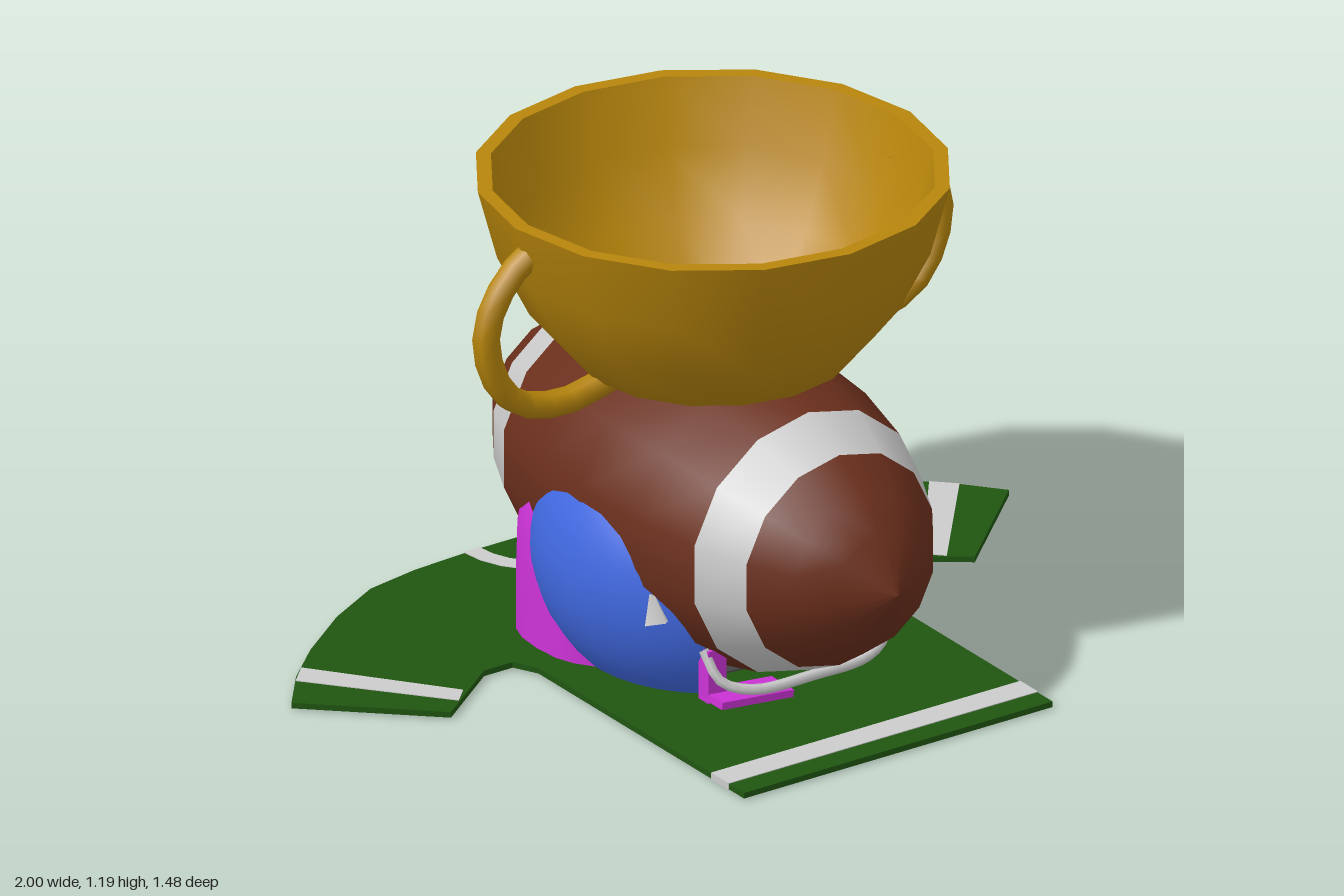
import * as THREE from 'three';
import { toCreasedNormals } from 'three/addons/utils/BufferGeometryUtils.js';

const mat = (color) => new THREE.MeshStandardMaterial({ color, side: THREE.DoubleSide });
const GREEN = mat(0x1f5511), WHITE = mat(0xcccccc), BROWN = mat(0x6b2f1c), GOLD = mat(0xb8860b);
const BLUE = mat(0x4169e1), MAGENTA = mat(0xcc33d6), DARK = mat(0x444444);

const v2 = (pts) => pts.map(([x, y]) => new THREE.Vector2(x, y));
const v3 = (pts) => pts.map((p) => new THREE.Vector3(...p));

function add(parent, name, geometry, material) {
  const mesh = new THREE.Mesh(geometry, material);
  mesh.name = name;
  parent.add(mesh);
  return mesh;
}

// Flat cloth slab from an outline of [x, z] points
function slab(outline, y0, y1) {
  const shape = new THREE.Shape(v2(outline.map(([x, z]) => [x, -z])));
  const geo = new THREE.ExtrudeGeometry(shape, { depth: y1 - y0, bevelEnabled: false });
  return geo.rotateX(-Math.PI / 2).translate(0, y0, 0);
}

const lathe = (pts, sides) => new THREE.LatheGeometry(v2(pts), sides);

function tube(pts, radius, segments, sides) {
  return new THREE.TubeGeometry(new THREE.CatmullRomCurve3(v3(pts)), segments, radius, sides);
}

function makeJersey() {
  const g = new THREE.Group();
  g.name = 'jersey';
  const half = [[0.43, 0.74], [0.43, -0.08], [0.46, -0.14], [0.54, -0.14], [0.73, 0], [1, -0.25],
    [0.91, -0.36], [0.8, -0.46], [0.65, -0.57], [0.5, -0.65], [0.36, -0.675], [0.2, -0.685]];
  const mirrored = half.map(([x, z]) => [-x, z]).reverse();
  add(g, 'cloth', slab([...half, ...mirrored], 0.004, 0.018), GREEN);
  add(g, 'hemStripe', slab([[-0.431, 0.61], [0.431, 0.61], [0.431, 0.68], [-0.431, 0.68]], 0.002, 0.02), WHITE);
  for (const s of [1, -1]) {
    const band = [[0.68, -0.04], [0.64, -0.08], [0.875, -0.39], [0.925, -0.34]];
    add(g, 'sleeveStripe', slab(band.map(([x, z]) => [s * x, z]), 0.002, 0.02), WHITE);
  }
  // Half-round collar
  const outer = [], inner = [];
  for (let i = 0; i <= 12; i++) {
    const a = (i / 12) * Math.PI;
    outer.push([0.215 * Math.cos(a), -0.685 + 0.215 * Math.sin(a)]);
    inner.unshift([0.17 * Math.cos(a), -0.685 + 0.17 * Math.sin(a)]);
  }
  add(g, 'collar', slab([...outer, ...inner], 0.006, 0.02), WHITE);
  return g;
}

function makeBall() {
  const g = new THREE.Group();
  g.name = 'ball';
  const middle = [[0.325, -0.38], [0.365, -0.2], [0.38, 0], [0.365, 0.2], [0.325, 0.38]];
  const stripe = [[0.325, 0.38], [0.265, 0.505]];
  const tip = [[0.265, 0.505], [0.2, 0.6], [0.125, 0.67], [0, 0.74]];
  const along = (pts) => lathe(pts, 14).rotateX(Math.PI / 2);
  const flip = (pts) => pts.map(([r, z]) => [r, -z]).reverse();
  add(g, 'ballMiddle', along(middle), BROWN);
  for (const side of [(p) => p, flip]) {
    add(g, 'ballStripe', along(side(stripe)), WHITE);
    add(g, 'ballTip', along(side(tip)), BROWN);
  }
  g.position.y = 0.4;
  return g;
}

function makeCup() {
  const g = new THREE.Group();
  g.name = 'cup';
  const profile = [[0, 0.685], [0.13, 0.69], [0.24, 0.71], [0.325, 0.745], [0.43, 0.87], [0.505, 1.02],
    [0.55, 1.19], [0.515, 1.19], [0.47, 1.03], [0.395, 0.88], [0.27, 0.74], [0, 0.725]];
  add(g, 'bowl', toCreasedNormals(lathe(profile, 16), 0.7), GOLD);
  const path = [[0.5, 1.12, 0], [0.565, 1.075, 0], [0.62, 0.99, 0], [0.632, 0.92, 0], [0.605, 0.82, 0],
    [0.545, 0.75, 0], [0.42, 0.718, 0], [0.28, 0.745, 0]];
  for (const s of [1, -1]) {
    add(g, 'cupHandle', tube(path.map(([x, y, z]) => [s * x, y, z]), 0.032, 12, 6), GOLD);
  }
  return g;
}

// Open-fronted round helmet under the ball
function makeFrontHelmet() {
  const g = new THREE.Group();
  g.name = 'frontHelmet';
  const shell = (k) => {
    const gap = 0.65;
    const geo = new THREE.SphereGeometry(1, 28, 18, Math.PI / 2 + gap, 2 * Math.PI - 2 * gap, 0.5, 1.77);
    return geo.scale(0.42 * k, 0.39 * k, 0.42 * k).translate(0, 0.27, 0);
  };
  add(g, 'helmetShell', shell(1), BLUE);
  add(g, 'helmetLining', shell(0.93), DARK);
  const bar = [[-0.25, 0.17, 0.32], [-0.23, 0.1, 0.36], [-0.16, 0.072, 0.39], [0, 0.07, 0.4],
    [0.16, 0.072, 0.39], [0.23, 0.1, 0.36], [0.25, 0.17, 0.32]];
  add(g, 'faceBar', tube(bar, 0.013, 24, 6), WHITE);
  for (const s of [1, -1]) {
    const clip = add(g, 'faceBarClip', new THREE.ConeGeometry(0.035, 0.09, 4), WHITE);
    clip.position.set(s * 0.335, 0.28, 0.245);
    clip.rotation.x = -0.3;
  }
  return g;
}

// Upright-walled helmet behind, built from rounded rectangular rings
function makeRearHelmet() {
  const g = new THREE.Group();
  g.name = 'rearHelmet';
  const rows = [[0.018, 1], [0.15, 1], [0.27, 0.99], [0.36, 0.95], [0.44, 0.82], [0.5, 0.55], [0.52, 0]];
  const n = 32, pos = [], index = [];
  const soft = (t) => Math.sign(t) * Math.pow(Math.abs(t), 0.8);
  rows.forEach(([y, k], j) => {
    for (let i = 0; i <= n; i++) {
      const a = (i / n) * 2 * Math.PI;
      pos.push(0.372 * k * soft(Math.cos(a)), y, -0.17 + 0.25 * k * soft(Math.sin(a)));
      if (j && i) {
        const p = j * (n + 1) + i, q = p - n - 1;
        index.push(q - 1, p - 1, q, p - 1, p, q);
      }
    }
  });
  const geo = new THREE.BufferGeometry();
  geo.setAttribute('position', new THREE.Float32BufferAttribute(pos, 3));
  geo.setIndex(index);
  geo.computeVertexNormals();
  add(g, 'helmetShell', geo, MAGENTA);
  // Jaw piece showing in the front opening
  const post = add(g, 'jawPost', new THREE.BoxGeometry(0.05, 0.13, 0.04), MAGENTA);
  post.position.set(-0.225, 0.105, 0.32);
  const base = add(g, 'jawBase', new THREE.BoxGeometry(0.2, 0.018, 0.09), MAGENTA);
  base.position.set(-0.15, 0.045, 0.35);
  base.rotation.z = -0.1;
  return g;
}

export function createModel() {
  const model = new THREE.Group();
  model.name = 'footballTrophy';
  model.add(makeJersey(), makeFrontHelmet(), makeRearHelmet(), makeBall(), makeCup());
  // Dark pad showing through the cloth underneath
  const pad = add(model, 'basePad', new THREE.CylinderGeometry(1, 1, 0.022, 20), DARK);
  pad.scale.set(0.28, 1, 0.2);
  pad.position.y = 0.011;
  return model;
}
